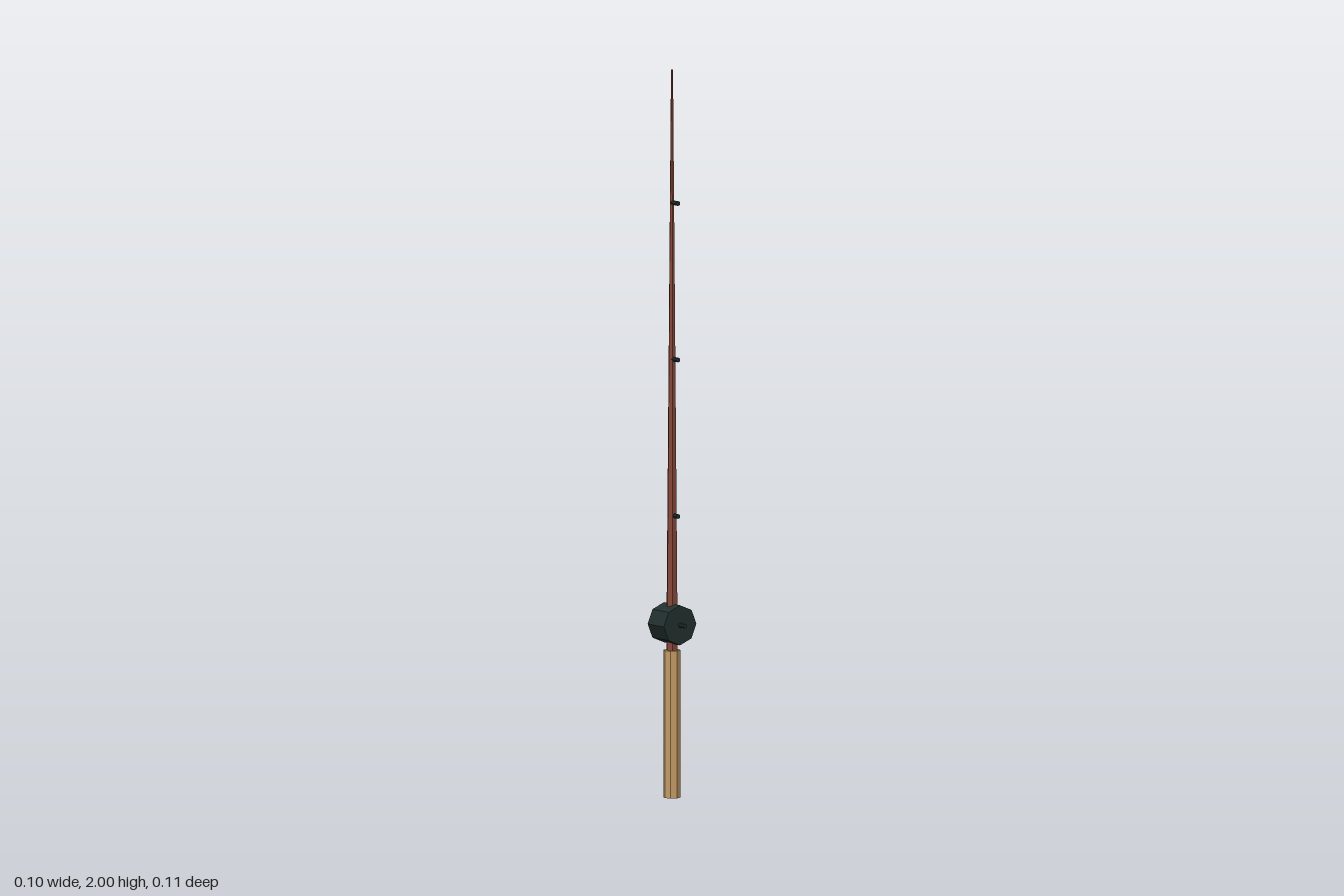
import * as THREE from 'three';

export function createModel() {
  const model = new THREE.Group();
  const mat = (name, color) => {
    const m = new THREE.MeshStandardMaterial({ color, flatShading: true });
    m.name = name;
    return m;
  };
  const tan = mat('cork tan', 0xc79d68);
  const red = mat('red brown wood', 0x86483a);
  const dark = mat('dark metal', 0x22302f);
  const AXIS = -0.013; // x of the rod's centre line

  // Tapered prism standing between two heights
  const upright = (name, material, rTop, rBottom, y0, y1, sides) => {
    const mesh = new THREE.Mesh(new THREE.CylinderGeometry(rTop, rBottom, y1 - y0, sides), material);
    mesh.position.set(AXIS, (y0 + y1) / 2, 0);
    mesh.name = name;
    model.add(mesh);
  };
  // Prism lying along x between two ends
  const sideways = (name, r, x0, x1, y, sides) => {
    const geometry = new THREE.CylinderGeometry(r, r, x1 - x0, sides).rotateZ(-Math.PI / 2);
    const mesh = new THREE.Mesh(geometry, dark);
    mesh.position.set((x0 + x1) / 2, y, 0);
    mesh.name = name;
    model.add(mesh);
  };

  // Grip and rod
  upright('handle', tan, 0.024, 0.024, 0, 0.405, 8);
  upright('rod', red, 0.003, 0.017, 0.4, 2, 6);

  // Reel drum and its crank
  sideways('reel', 0.055, -0.05, 0.024, 0.477, 8);
  sideways('crank', 0.0065, 0.02, 0.048, 0.477, 8);

  // Line guides
  [0.775, 1.205, 1.635].forEach((y) => sideways('lineGuide', 0.0065, AXIS, 0.016, y, 8));

  return model;
}
